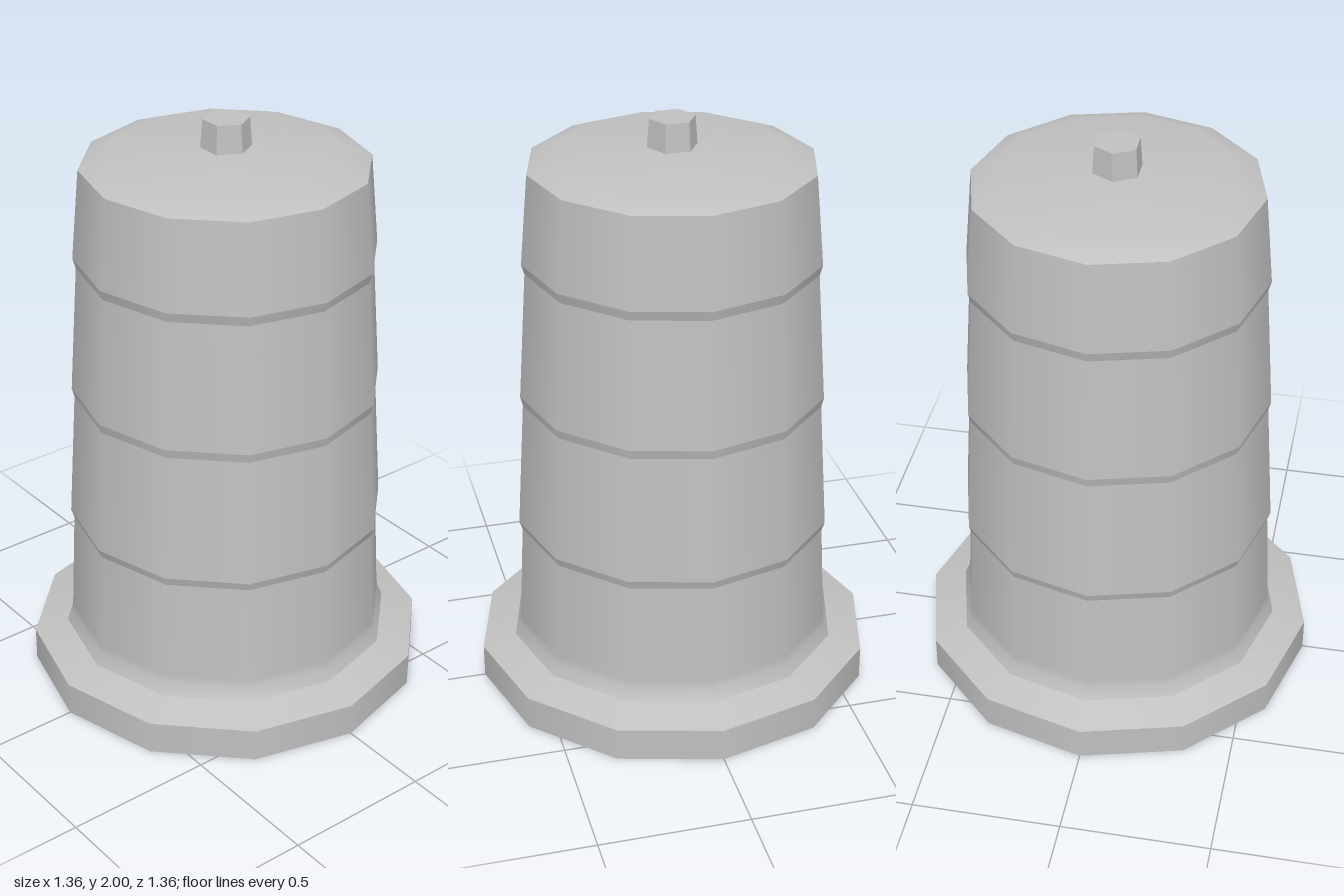
import * as THREE from 'three';

const SIDES = 12;

export function createModel() {
  const plastic = new THREE.MeshStandardMaterial({ color: 0xc0c0c0, side: THREE.DoubleSide });
  plastic.name = 'grey plastic';
  const model = new THREE.Group();
  model.name = 'trafficBarrel';

  // Turns a profile of [radius, height] points into a smooth open shell
  function ring(name, profile) {
    const points = profile.map(([r, y]) => new THREE.Vector2(r, y));
    const mesh = new THREE.Mesh(new THREE.LatheGeometry(points, SIDES), plastic);
    mesh.name = name;
    model.add(mesh);
  }

  // Base flange, open underneath
  ring('baseRim', [[0.68, 0], [0.68, 0.115]]);
  ring('baseSlope', [[0.68, 0.115], [0.565, 0.15]]);

  // Tapered wall sections, the lowest flaring into the flange
  ring('wallSection1', [[0.565, 0.15], [0.548, 0.19], [0.544, 0.22], [0.527, 0.572]]);
  ring('wallSection2', [[0.537, 0.602], [0.51, 1.043]]);
  ring('wallSection3', [[0.518, 1.075], [0.489, 1.513]]);
  ring('wallSection4', [[0.499, 1.547], [0.472, 1.85]]);

  // Small overhanging steps between the wall sections
  ring('step1', [[0.527, 0.572], [0.537, 0.602]]);
  ring('step2', [[0.51, 1.043], [0.518, 1.075]]);
  ring('step3', [[0.489, 1.513], [0.499, 1.547]]);

  // Bevelled lid with a very shallow cone
  ring('lid', [[0.472, 1.85], [0.38, 1.887], [0.08, 1.905], [0, 1.906]]);

  // Hexagonal knob, flat-sided
  const knobGeometry = new THREE.CylinderGeometry(0.076, 0.083, 0.1, 6).toNonIndexed();
  knobGeometry.computeVertexNormals();
  const knob = new THREE.Mesh(knobGeometry, plastic);
  knob.name = 'knob';
  knob.position.y = 1.95;
  model.add(knob);

  return model;
}
